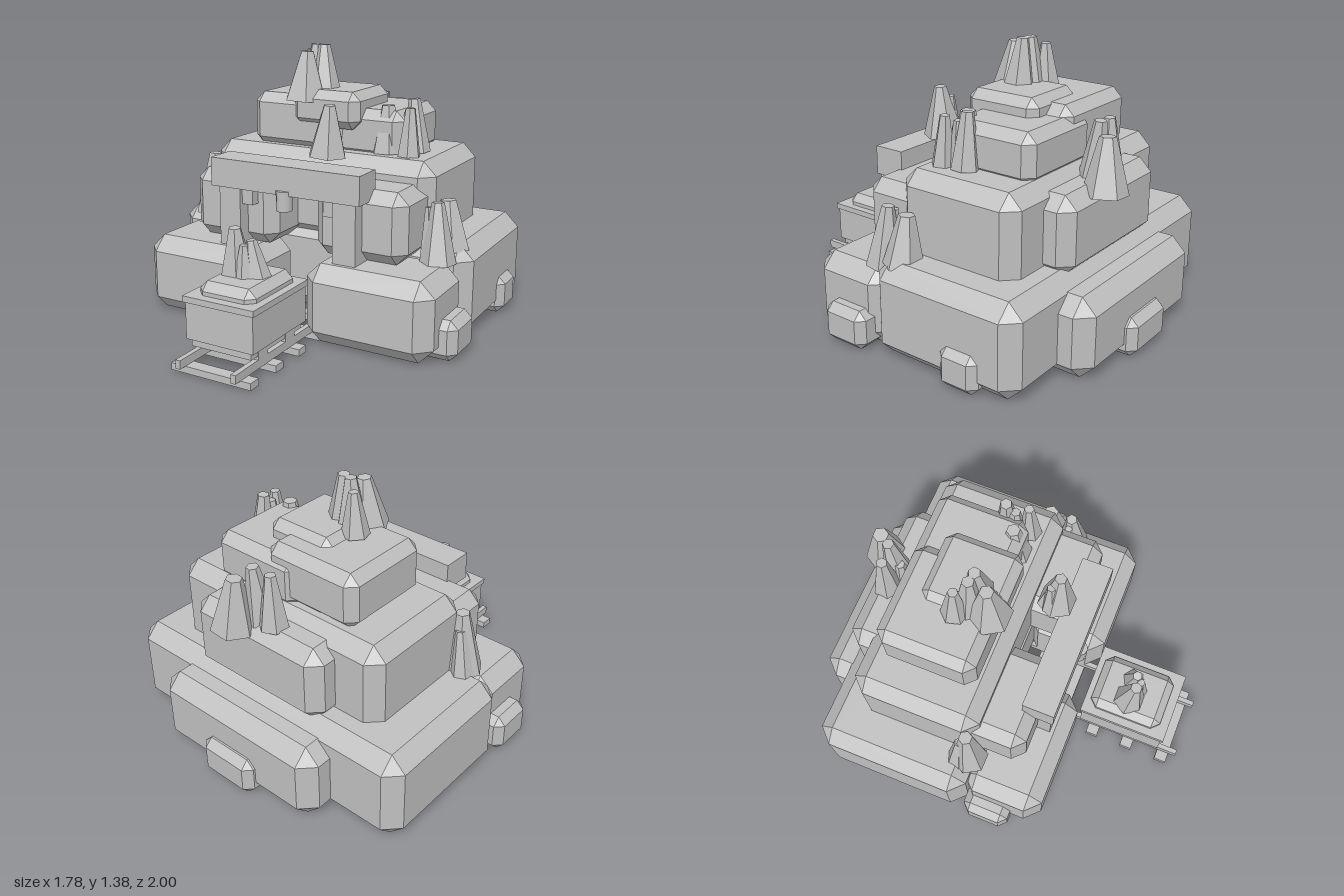
import * as THREE from 'three';
import { ConvexGeometry } from 'three/addons/geometries/ConvexGeometry.js';

export function createModel() {
  const model = new THREE.Group();
  model.name = 'crystalMine';
  const stone = new THREE.MeshStandardMaterial({ color: 0xc0c0c0 });
  stone.name = 'stoneGrey';

  function add(name, geometry, parent = model) {
    const mesh = new THREE.Mesh(geometry, stone);
    mesh.name = name;
    parent.add(mesh);
    return mesh;
  }

  // Plain box from its min and max on each axis
  function box(name, x0, x1, y0, y1, z0, z1, parent) {
    const mesh = add(name, new THREE.BoxGeometry(x1 - x0, y1 - y0, z1 - z0), parent);
    mesh.position.set((x0 + x1) / 2, (y0 + y1) / 2, (z0 + z1) / 2);
    return mesh;
  }

  // Box with every edge and corner cut at c
  function rock(name, x0, x1, y0, y1, z0, z1, c, parent) {
    const h = [(x1 - x0) / 2, (y1 - y0) / 2, (z1 - z0) / 2];
    const points = [];
    for (const sx of [-1, 1]) for (const sy of [-1, 1]) for (const sz of [-1, 1]) {
      for (let full = 0; full < 3; full++) {
        const p = h.map((v, i) => (i === full ? v : v - c));
        points.push(new THREE.Vector3(sx * p[0], sy * p[1], sz * p[2]));
      }
    }
    const mesh = add(name, new ConvexGeometry(points), parent);
    mesh.position.set((x0 + x1) / 2, (y0 + y1) / 2, (z0 + z1) / 2);
    return mesh;
  }

  // Six-sided tapered crystals, each as [base xyz, tip xyz, base radius, tip radius]
  function crystals(name, list, parent = model) {
    const group = new THREE.Group();
    group.name = name;
    parent.add(group);
    list.forEach(([bx, by, bz, tx, ty, tz, rb, rt], i) => {
      const base = new THREE.Vector3(bx, by, bz);
      const axis = new THREE.Vector3(tx, ty, tz).sub(base);
      const geo = new THREE.CylinderGeometry(rt, rb, axis.length(), 6).toNonIndexed();
      geo.rotateY(i * 0.4 + Math.PI / 6);
      geo.computeVertexNormals();
      const mesh = add('crystal', geo, group);
      mesh.position.copy(base).addScaledVector(axis, 0.5);
      mesh.quaternion.setFromUnitVectors(new THREE.Vector3(0, 1, 0), axis.normalize());
    });
  }

  // Lower tier
  rock('baseRock', -0.875, 0.835, 0, 0.47, -0.8, 0.02, 0.075);
  rock('baseBackRock', -0.505, 0.495, 0, 0.4, -0.95, -0.4, 0.075);
  rock('frontRockRight', -0.81, -0.135, 0, 0.4, -0.02, 0.42, 0.075);
  rock('frontRockLeft', 0.135, 0.805, 0, 0.4, -0.02, 0.42, 0.075);

  // Small boulders around the foot
  rock('boulderRight', -0.895, -0.7, 0, 0.2, 0.02, 0.27, 0.04);
  rock('boulderLeft', 0.7, 0.885, 0, 0.2, 0.035, 0.29, 0.04);
  rock('boulderLeftBack', 0.7, 0.87, 0, 0.2, -0.62, -0.405, 0.04);
  rock('boulderBack', -0.165, 0.16, 0, 0.2, -1, -0.8, 0.04);

  // Middle tier
  rock('middleRock', -0.64, 0.63, 0.4, 0.86, -0.645, 0.02, 0.07);
  rock('middleBackRock', -0.405, 0.395, 0.42, 0.81, -0.778, -0.3, 0.065);
  rock('middleFrontRockRight', -0.605, -0.11, 0.4, 0.757, -0.1, 0.255, 0.06);
  rock('middleFrontRockLeft', 0.11, 0.6, 0.4, 0.757, -0.1, 0.255, 0.06);

  // Summit
  rock('summitRock', -0.44, 0.095, 0.84, 1.125, -0.567, -0.06, 0.05);
  rock('summitSideRock', -0.1, 0.415, 0.82, 1.075, -0.582, -0.1, 0.05);
  rock('summitCapRock', -0.19, 0.195, 0.97, 1.162, -0.445, -0.04, 0.045);

  // Mine entrance
  const entrance = new THREE.Group();
  entrance.name = 'entrance';
  model.add(entrance);
  box('lintel', -0.42, 0.415, 0.705, 0.85, 0.18, 0.345, entrance);
  for (const s of [-1, 1]) {
    const span = (a, b) => (s < 0 ? [-b, -a] : [a, b]);
    box('post', ...span(0.262, 0.385), 0, 0.705, 0.2, 0.325, entrance);
    box('brace', ...span(0.2, 0.262), 0.62, 0.705, 0.22, 0.305, entrance);
  }
  const lantern = add('lantern', new THREE.CylinderGeometry(0.04, 0.04, 0.1, 12), entrance);
  lantern.position.set(-0.002, 0.677, 0.328);

  // Track
  const track = new THREE.Group();
  track.name = 'track';
  model.add(track);
  for (const x of [-0.152, 0.148]) box('rail', x - 0.013, x + 0.013, 0.033, 0.075, 0, 1, track);
  for (const z of [0.93, 0.725, 0.523, 0.318, 0.115]) {
    box('sleeper', -0.218, 0.214, 0, 0.034, z - 0.032, z + 0.032, track);
  }

  // Cart
  const cart = new THREE.Group();
  cart.name = 'cart';
  model.add(cart);
  box('cartBody', -0.185, 0.18, 0.13, 0.315, 0.437, 0.888, cart);
  box('cartRim', -0.196, 0.19, 0.31, 0.34, 0.428, 0.897, cart);
  box('cartChassis', -0.165, 0.16, 0.095, 0.13, 0.45, 0.875, cart);
  for (const z of [0.55, 0.78]) {
    for (const x of [-0.152, 0.148]) box('cartWheel', x - 0.014, x + 0.014, 0.075, 0.13, z - 0.04, z + 0.04, cart);
  }
  rock('cartLoad', -0.155, 0.15, 0.27, 0.4, 0.46, 0.85, 0.04, cart);
  crystals('cartCrystals', [
    [-0.06, 0.39, 0.65, -0.06, 0.62, 0.665, 0.085, 0.03],
    [0.05, 0.39, 0.64, 0.02, 0.57, 0.65, 0.062, 0.025],
    [0, 0.39, 0.68, 0, 0.55, 0.68, 0.05, 0.02],
  ], cart);

  // Crystal clusters
  crystals('summitCrystals', [
    [-0.13, 1.1, -0.1, -0.125, 1.35, -0.11, 0.115, 0.035],
    [-0.06, 1.15, -0.18, -0.07, 1.38, -0.19, 0.08, 0.03],
    [-0.19, 1.13, -0.25, -0.18, 1.345, -0.25, 0.07, 0.025],
    [-0.13, 1.1, -0.2, -0.12, 1.38, -0.2, 0.085, 0.03],
  ]);
  crystals('backCrystals', [
    [0.1, 0.76, -0.78, 0.08, 1.03, -0.77, 0.11, 0.04],
    [-0.08, 0.8, -0.69, -0.07, 1.07, -0.69, 0.075, 0.028],
    [0.02, 0.79, -0.67, 0.03, 1.08, -0.7, 0.08, 0.03],
    [0, 0.78, -0.64, 0, 0.95, -0.64, 0.055, 0.025],
  ]);
  crystals('entranceCrystals', [
    [0.135, 0.88, 0.145, 0.15, 1.13, 0.15, 0.1, 0.03],
    [0.1, 0.88, 0.13, 0.11, 1.08, 0.12, 0.055, 0.022],
  ]);
  crystals('terraceCrystals', [
    [0.32, 0.86, -0.15, 0.315, 1.1, -0.16, 0.085, 0.035],
    [0.44, 0.86, -0.24, 0.42, 1.13, -0.24, 0.07, 0.03],
    [0.45, 0.86, -0.12, 0.45, 1.1, -0.13, 0.06, 0.025],
    [0.41, 0.86, -0.19, 0.42, 1.08, -0.19, 0.065, 0.025],
  ]);
  crystals('leftCrystals', [
    [0.7, 0.43, -0.08, 0.68, 0.675, -0.09, 0.1, 0.04],
    [0.69, 0.39, 0.05, 0.675, 0.69, 0.03, 0.09, 0.03],
    [0.645, 0.39, 0.05, 0.63, 0.66, 0.03, 0.05, 0.02],
  ]);
  crystals('rightCrystals', [
    [-0.67, 0.45, -0.005, -0.655, 0.78, -0.02, 0.095, 0.035],
    [-0.7, 0.44, -0.06, -0.67, 0.7, -0.05, 0.06, 0.025],
  ]);

  return model;
}
